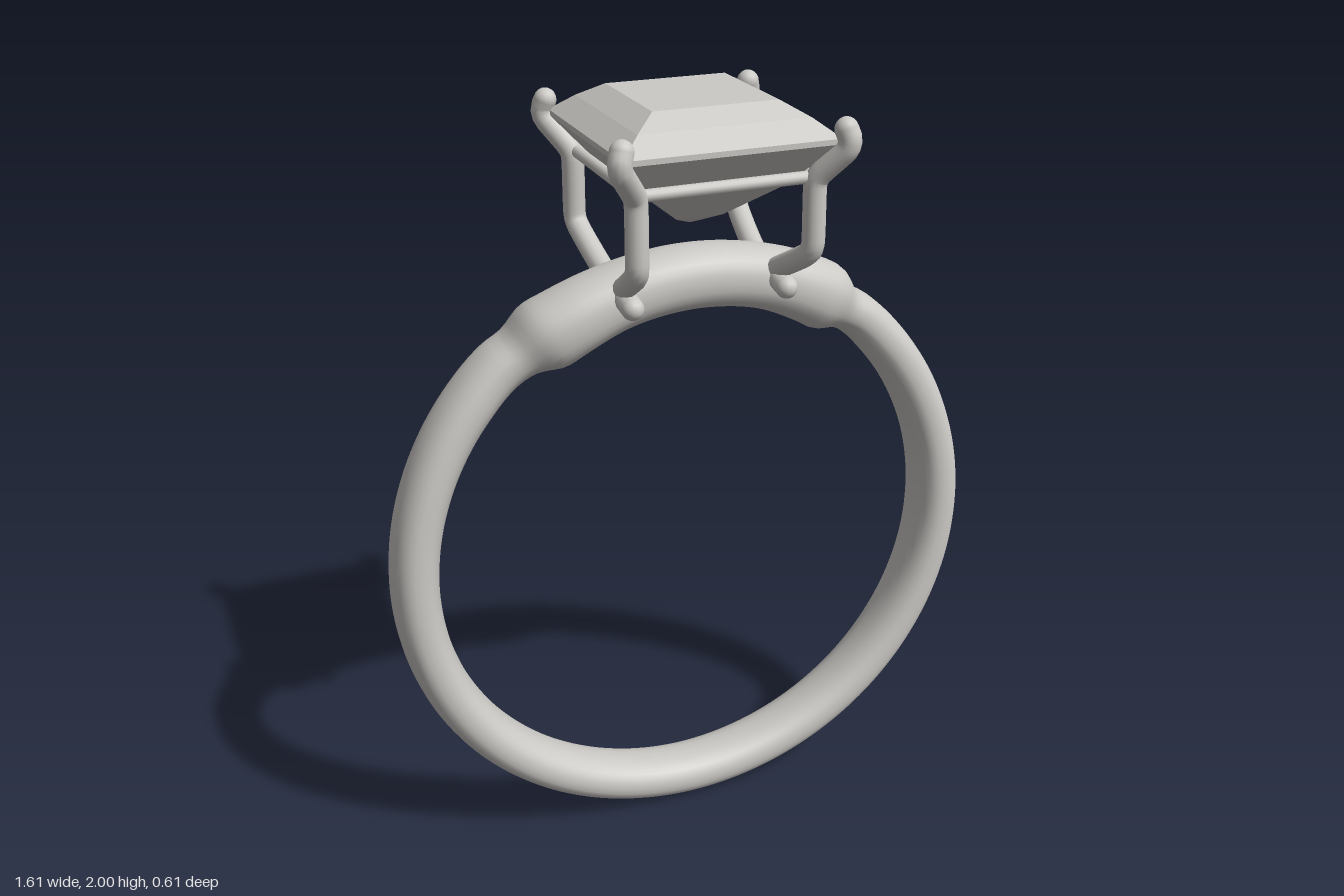
import * as THREE from 'three';

const silver = new THREE.MeshStandardMaterial({ color: 0xcccac6 });
silver.name = 'silver';

function add(parent, name, geometry) {
  const mesh = new THREE.Mesh(geometry, silver);
  mesh.name = name;
  parent.add(mesh);
  return mesh;
}

// Rounded wire through a few points, with round ends
function wire(parent, name, points, radius) {
  const group = new THREE.Group();
  group.name = name;
  const pts = points.map((p) => new THREE.Vector3(...p));
  const curve = new THREE.CatmullRomCurve3(pts, false, 'catmullrom', 0.3);
  add(group, name + 'Wire', new THREE.TubeGeometry(curve, 48, radius, 14));
  for (const p of [pts[0], pts[pts.length - 1]]) {
    add(group, name + 'End', new THREE.SphereGeometry(radius, 14, 10)).position.copy(p);
  }
  parent.add(group);
}

// Band: rounded section swept round the finger, bulging and stepping near the top
function bandGeometry() {
  // degrees from top, inner radius, outer radius, back z, front z
  const rows = [
    [0, 0.667, 0.825, -0.085, 0.09],
    [15, 0.664, 0.825, -0.09, 0.09],
    [26, 0.654, 0.827, -0.105, 0.09],
    [31, 0.652, 0.826, -0.12, 0.08],
    [36, 0.677, 0.798, -0.13, 0.05],
    [40, 0.685, 0.803, -0.13, 0.042],
    [50, 0.685, 0.805, -0.125, 0.045],
    [70, 0.685, 0.805, -0.11, 0.06],
    [90, 0.685, 0.805, -0.097, 0.073],
    [120, 0.685, 0.805, -0.085, 0.08],
    [180, 0.685, 0.805, -0.08, 0.08],
  ];
  const profile = new THREE.CubicInterpolant(
    rows.map((r) => r[0]), rows.flatMap((r) => r.slice(1)), 4);
  const N = 240, M = 28, pos = [], index = [];
  const round = (v) => Math.sign(v) * Math.abs(v) ** 0.88;
  for (let i = 0; i < N; i++) {
    const deg = (i / N) * 360, t = THREE.MathUtils.degToRad(deg);
    const [rin, rout, back, front] = profile.evaluate(Math.min(deg, 360 - deg));
    for (let j = 0; j < M; j++) {
      const a = (j / M) * Math.PI * 2;
      const r = (rin + rout) / 2 + ((rout - rin) / 2) * round(Math.cos(a));
      const z = (back + front) / 2 + ((front - back) / 2) * round(Math.sin(a));
      pos.push(r * Math.sin(t), 0.805 + r * Math.cos(t), z);
      const j2 = (j + 1) % M, i2 = (i + 1) % N;
      const p = i * M + j, q = i * M + j2, s = i2 * M + j, u = i2 * M + j2;
      index.push(p, q, s, q, u, s);
    }
  }
  const g = new THREE.BufferGeometry();
  g.setAttribute('position', new THREE.Float32BufferAttribute(pos, 3));
  g.setIndex(index);
  g.computeVertexNormals();
  return g;
}

// Square-cut stone: four-sided turned profile with flat facets
function stoneGeometry() {
  const profile = [
    [0, 1.685], [0.06, 1.715], [0.165, 1.8], [0.2, 1.84], [0.265, 1.912],
    [0.265, 1.925], [0.212, 1.966], [0.155, 2], [0, 2],
  ].map(([half, y]) => new THREE.Vector2(half * Math.SQRT2, y));
  const g = new THREE.LatheGeometry(profile, 4, Math.PI / 4).toNonIndexed();
  g.computeVertexNormals();
  return g;
}

export function createModel() {
  const model = new THREE.Group();
  model.name = 'ring';
  add(model, 'band', bandGeometry());
  add(model, 'stone', stoneGeometry());

  // Four prongs; the back pair runs through the band and ends at its front
  for (const sx of [-1, 1]) {
    for (const sz of [-1, 1]) {
      const foot = sz > 0 ? [sx * 0.2, 1.565, 0.07] : [sx * 0.2, 1.535, 0.13];
      const path = [foot];
      if (sz < 0) path.push([sx * 0.203, 1.57, -0.06]);
      path.push(
        [sx * 0.216, 1.635, sz * 0.195],
        [sx * 0.221, 1.67, sz * 0.221],
        [sx * 0.221, 1.81, sz * 0.221],
        [sx * 0.23, 1.84, sz * 0.23],
        [sx * 0.272, 1.9, sz * 0.272],
        [sx * 0.277, 1.925, sz * 0.277],
        [sx * 0.27, 1.948, sz * 0.27],
      );
      wire(model, sz > 0 ? 'frontProng' : 'backProng', path, 0.028);
    }
  }

  // Square rail joining the prongs under the stone
  const h = 0.215, y = 1.83;
  for (const s of [-1, 1]) {
    wire(model, 'railAcross', [[-h, y, s * h], [h, y, s * h]], 0.015);
    wire(model, 'railSide', [[s * h, y, -h], [s * h, y, h]], 0.015);
  }
  return model;
}
